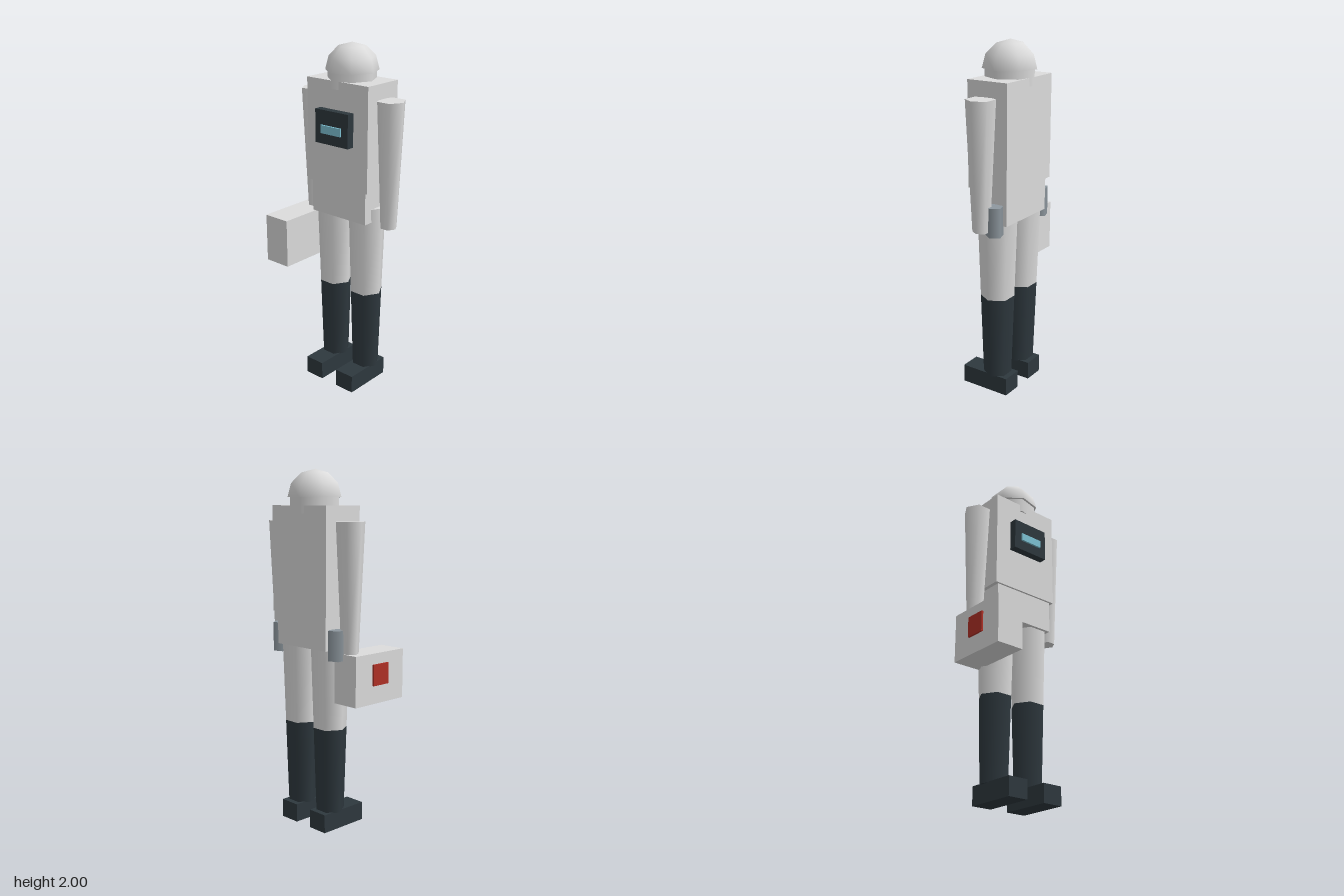
import * as THREE from 'three';

const mat = (name, color) => {
  const m = new THREE.MeshStandardMaterial({ color });
  m.name = name;
  return m;
};

export function createModel() {
  const white = mat('suitWhite', 0xdcdcdc);
  const dark = mat('darkSlate', 0x2e383e);
  const steel = mat('steelGrey', 0x8e989f);
  const cyan = mat('screenCyan', 0x7fc4d6);
  const red = mat('markerRed', 0xb03026);

  const model = new THREE.Group();
  model.name = 'suitedFigure';
  const CX = 0.011, CZ = -0.09; // body axis

  const add = (name, geometry, material, x = 0, y = 0, z = 0) => {
    const mesh = new THREE.Mesh(geometry, material);
    mesh.name = name;
    mesh.position.set(x, y, z);
    model.add(mesh);
    return mesh;
  };

  // Box given by its extents on each axis
  const box = (name, material, [x0, x1], [y0, y1], [z0, z1]) =>
    add(name, new THREE.BoxGeometry(x1 - x0, y1 - y0, z1 - z0), material,
      (x0 + x1) / 2, (y0 + y1) / 2, (z0 + z1) / 2);

  // Upright few-sided cylinder with one corner facing +x
  const column = (name, material, sides, rTop, rBottom, y0, y1, x, z) =>
    add(name, new THREE.CylinderGeometry(rTop, rBottom, y1 - y0, sides).rotateY(Math.PI / 2),
      material, x, (y0 + y1) / 2, z);

  // Body
  box('torso', white, [-0.205, 0.225], [1.222, 1.806], [-0.215, 0.034]);
  box('pelvis', white, [-0.183, 0.204], [1.035, 1.222], [-0.2, 0.022]);
  box('chestPanel', dark, [-0.106, 0.126], [1.465, 1.652], [0.034, 0.079]);
  box('chestScreen', cyan, [-0.06, 0.08], [1.525, 1.57], [0.079, 0.09]);

  // Head: collar and closed helmet dome
  column('collar', white, 7, 0.137, 0.137, 1.762, 1.85, CX, CZ);
  add('helmet', new THREE.SphereGeometry(0.151, 7, 3, 0, Math.PI * 2, 0, Math.PI / 2)
    .rotateY(Math.PI), white, CX, 1.849, CZ);
  add('helmetBase', new THREE.CircleGeometry(0.151, 7).rotateX(Math.PI / 2),
    white, CX, 1.849, CZ);

  // Limbs and hip canisters
  for (const [side, s] of [['left', 1], ['right', -1]]) {
    const legX = CX + s * 0.117;
    column(side + 'Arm', white, 6, 0.08, 0.048, 1.01, 1.722, CX + s * 0.27, CZ);
    column(side + 'Thigh', white, 6, 0.111, 0.095, 0.585, 1.112, legX, CZ);
    column(side + 'Boot', dark, 6, 0.095, 0.08, 0.1, 0.585, legX, CZ);
    box(side + 'Foot', dark, [legX - 0.061, legX + 0.061], [0, 0.105], [-0.191, 0.108]);
    column(side + 'Canister', steel, 5, 0.05, 0.05, 0.985, 1.15, CX + 0.001 + s * 0.225, -0.146);
  }

  // Carried case with side marker
  box('case', white, [-0.35, -0.188], [0.743, 1.022], [-0.138, 0.237]);
  box('caseMarker', red, [-0.361, -0.35], [0.845, 0.962], [-0.009, 0.108]);

  return model;
}
